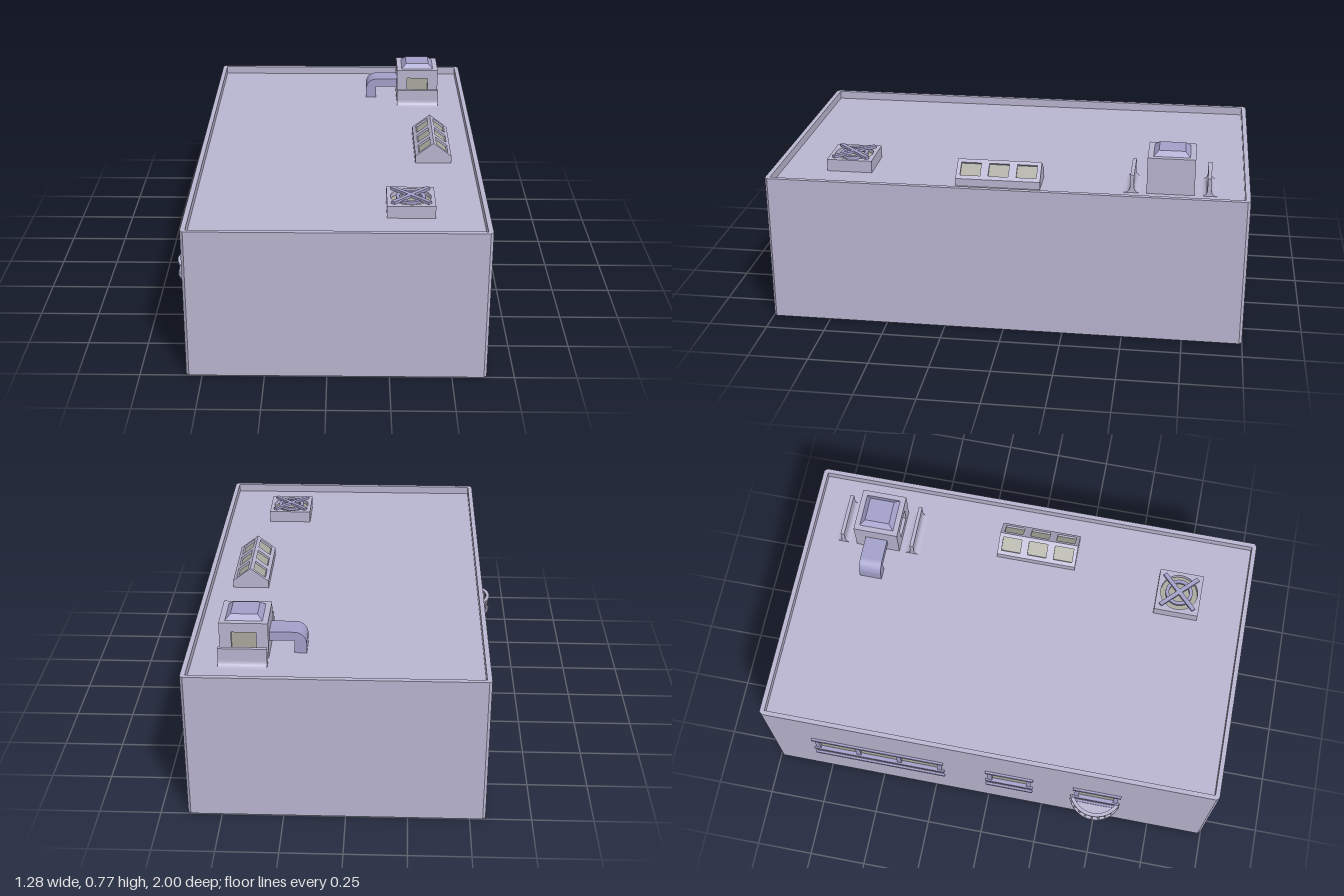
import * as THREE from 'three';

const wallMat = new THREE.MeshStandardMaterial({ color: 0xb9b5d0, side: THREE.DoubleSide });
const trimMat = new THREE.MeshStandardMaterial({ color: 0xa3a0ca, side: THREE.DoubleSide });
const glassMat = new THREE.MeshStandardMaterial({ color: 0xa9a99e, side: THREE.DoubleSide });

const ROOF = 0.6, TOP = 0.635, X0 = -0.565, X1 = 0.64, T = 0.02;

function mesh(parent, name, geo, mat = wallMat) {
  const m = new THREE.Mesh(geo, mat);
  m.name = name;
  parent.add(m);
  return m;
}

// Box given by its min and max corners
function box(parent, name, [x0, y0, z0], [x1, y1, z1], mat) {
  const g = new THREE.BoxGeometry(x1 - x0, y1 - y0, z1 - z0);
  g.translate((x0 + x1) / 2, (y0 + y1) / 2, (z0 + z1) / 2);
  return mesh(parent, name, g, mat);
}

const poly = (pts) => new THREE.Shape(pts.map(([x, y]) => new THREE.Vector2(x, y)));

function rectHole(shape, x0, y0, x1, y1) {
  shape.holes.push(new THREE.Path([[x0, y0], [x0, y1], [x1, y1], [x1, y0]].map(([x, y]) => new THREE.Vector2(x, y))));
}

const extrude = (shape, depth) =>
  new THREE.ExtrudeGeometry(shape, { depth, bevelEnabled: false, curveSegments: 16 });

// Plan shape drawn in (x, z), standing from y0 to y1
const plan = (shape, y0, y1) => extrude(shape, y1 - y0).rotateX(Math.PI / 2).translate(0, y1, 0);

// Profile drawn in (z, y), running from x0 to x1
const across = (shape, x0, x1) => extrude(shape, x1 - x0).rotateY(-Math.PI / 2).translate(x1, 0, 0);

function ring(r, hole) {
  const s = new THREE.Shape().absarc(0, 0, r, 0, Math.PI * 2);
  s.holes.push(new THREE.Path().absarc(0, 0, hole, 0, Math.PI * 2, true));
  return s;
}

const windows = [
  { z0: -0.78, z1: -0.22, panes: 3 },
  { z0: 0.01, z1: 0.185, panes: 1 },
  { z0: 0.405, z1: 0.58, panes: 1 },
];

function createShell(parent) {
  const c = 0.012, xi = X0 + T;
  // Three walls in one piece, with chamfered outer corners
  mesh(parent, 'walls', plan(poly([
    [X0, 0.98], [X0, 1 - c], [X0 + c, 1], [X1 - c, 1], [X1, 1 - c], [X1, -1 + c], [X1 - c, -1],
    [X0 + c, -1], [X0, -1 + c], [X0, -0.98], [X1 - T, -0.98], [X1 - T, 0.98],
  ]), 0, TOP));
  // Window wall
  const wall = poly([[-0.98, 0], [0.98, 0], [0.98, TOP], [-0.98, TOP]]);
  for (const w of windows) rectHole(wall, w.z0, 0.27, w.z1, 0.385);
  mesh(parent, 'windowWall', across(wall, X0, xi));
  box(parent, 'roof', [xi, ROOF - 0.01, -0.98], [X1 - T, ROOF, 0.98]);
}

function createWindow(parent, { z0, z1, panes }) {
  const g = new THREE.Group();
  g.name = 'window';
  parent.add(g);
  box(g, 'glass', [-0.557, 0.27, z0], [-0.553, 0.385, z1], glassMat);
  for (const [y0, y1] of [[0.382, 0.398], [0.262, 0.276], [0.2, 0.214]])
    box(g, 'ledge', [-0.575, y0, z0 - 0.02], [-0.537, y1, z1 + 0.02], trimMat);
  const step = (z1 - z0) / panes;
  for (let i = 0; i <= panes; i++) {
    const z = z0 + i * step;
    box(g, 'mullion', [-0.568, 0.27, z - 0.01], [-0.542, 0.385, z + 0.01], trimMat);
  }
}

function createBalcony(parent) {
  const g = new THREE.Group();
  g.name = 'balcony';
  g.position.set(-0.525, 0, 0.49);
  parent.add(g);
  const a = 1.92, b = Math.PI * 2 - a;
  const floor = new THREE.Shape().absarc(0, 0, 0.12, a, b);
  mesh(g, 'balconyFloor', plan(floor, 0.2, 0.209));
  const rail = new THREE.Shape().absarc(0, 0, 0.12, a, b).absarc(0, 0, 0.104, b, a, true);
  mesh(g, 'handrail', plan(rail, 0.26, 0.269));
  for (let i = 0; i < 9; i++) {
    const t = a + ((b - a) * (i + 0.5)) / 9;
    const post = mesh(g, 'baluster', new THREE.BoxGeometry(0.007, 0.053, 0.007));
    post.position.set(Math.cos(t) * 0.112, 0.235, Math.sin(t) * 0.112);
    post.rotation.y = -t;
  }
}

function createFan(parent) {
  const g = new THREE.Group();
  g.name = 'roofFan';
  g.position.set(0.333, 0, 0.69);
  parent.add(g);
  const s = 0.097;
  const frame = poly([[-s, -s], [s, -s], [s, s], [-s, s]]);
  frame.holes.push(new THREE.Path().absarc(0, 0, 0.082, 0, Math.PI * 2, true));
  mesh(g, 'fanHousing', plan(frame, ROOF, 0.652));
  mesh(g, 'fanWell', new THREE.CylinderGeometry(0.083, 0.083, 0.005, 32), glassMat).position.y = 0.63;
  mesh(g, 'fanRing', plan(ring(0.06, 0.045), 0.643, 0.655), trimMat);
  for (const r of [1, -1]) {
    const bar = mesh(g, 'crossBar', new THREE.BoxGeometry(0.21, 0.012, 0.018), trimMat);
    bar.position.y = 0.657;
    bar.rotation.y = (r * Math.PI) / 4;
  }
}

function createSkylight(parent) {
  const g = new THREE.Group();
  g.name = 'skylight';
  g.position.set(0.45, 0, 0.037);
  parent.add(g);
  const hw = 0.078, hl = 0.177, eave = 0.632, ridge = 0.692;
  const slope = Math.hypot(hw, ridge - eave), tilt = Math.atan2(ridge - eave, hw);
  box(g, 'curb', [-hw, ROOF, -hl], [hw, eave, hl]);
  for (const z of [-hl, hl - 0.012]) {
    const gable = extrude(poly([[-hw, eave], [hw, eave], [0, ridge]]), 0.012);
    mesh(g, 'gable', gable.translate(0, 0, z));
  }
  for (const side of [0, 1]) {
    const half = new THREE.Group();
    half.name = 'skylightSlope';
    half.rotation.y = side * Math.PI;
    g.add(half);
    // Slope panel with three openings, laid from ridge to eave
    const panel = poly([[0, -hl], [slope, -hl], [slope, hl], [0, hl]]);
    for (const z of [-0.118, 0, 0.118]) rectHole(panel, 0.017, z - 0.042, 0.08, z + 0.042);
    const frame = mesh(half, 'skylightFrame', plan(panel, -0.012, 0));
    const pane = box(half, 'skylightGlass', [0.01, -0.012, -hl + 0.015], [slope - 0.01, -0.009, hl - 0.015], glassMat);
    for (const m of [frame, pane]) {
      m.position.y = ridge;
      m.rotation.z = -tilt;
    }
  }
}

function createVent(parent) {
  const g = new THREE.Group();
  g.name = 'ventUnit';
  g.position.set(0.412, 0, -0.677);
  parent.add(g);
  const s = 0.098, top = 0.755;
  // Housing with an opening through front and back
  const face = poly([[-s, ROOF], [s, ROOF], [s, top], [-s, top]]);
  rectHole(face, -0.05, 0.64, 0.05, 0.715);
  mesh(g, 'ventHousing', extrude(face, 2 * s).translate(0, 0, -s));
  box(g, 'ventGrille', [-0.05, 0.64, -s + 0.015], [0.05, 0.715, s - 0.015], glassMat);
  // Tapered cap with a sunken-looking top panel
  const cap = new THREE.CylinderGeometry(0.054 * Math.SQRT2, 0.075 * Math.SQRT2, 0.02, 4);
  cap.rotateY(Math.PI / 4);
  const flat = cap.toNonIndexed();
  flat.computeVertexNormals();
  mesh(g, 'ventCap', flat.translate(0, top + 0.01, 0), trimMat);

  // Duct elbow down to the roof
  const duct = new THREE.Shape();
  duct.moveTo(-s, 0.693);
  duct.lineTo(-0.197, 0.693);
  duct.absarc(-0.197, 0.643, 0.05, Math.PI / 2, Math.PI);
  duct.lineTo(-0.247, ROOF);
  duct.lineTo(-0.198, ROOF);
  duct.lineTo(-0.198, 0.655);
  duct.lineTo(-s, 0.655);
  mesh(g, 'duct', extrude(duct, 0.098).translate(0, 0, -0.049), trimMat);

  // Upstand guards with flared feet, front and back
  for (const z of [-0.158, 0.158]) {
    const p = new THREE.Shape();
    p.moveTo(-0.034, ROOF);
    p.quadraticCurveTo(-0.008, ROOF + 0.002, -0.008, 0.628);
    p.lineTo(-0.008, 0.677);
    p.lineTo(0.008, 0.677);
    p.lineTo(0.008, 0.628);
    p.quadraticCurveTo(0.008, ROOF + 0.002, 0.034, ROOF);
    mesh(g, 'guard', across(p, -s, s)).position.z = z;
  }
}

export function createModel() {
  const model = new THREE.Group();
  model.name = 'building';
  createShell(model);
  for (const w of windows) createWindow(model, w);
  createBalcony(model);
  createFan(model);
  createSkylight(model);
  createVent(model);
  return model;
}
